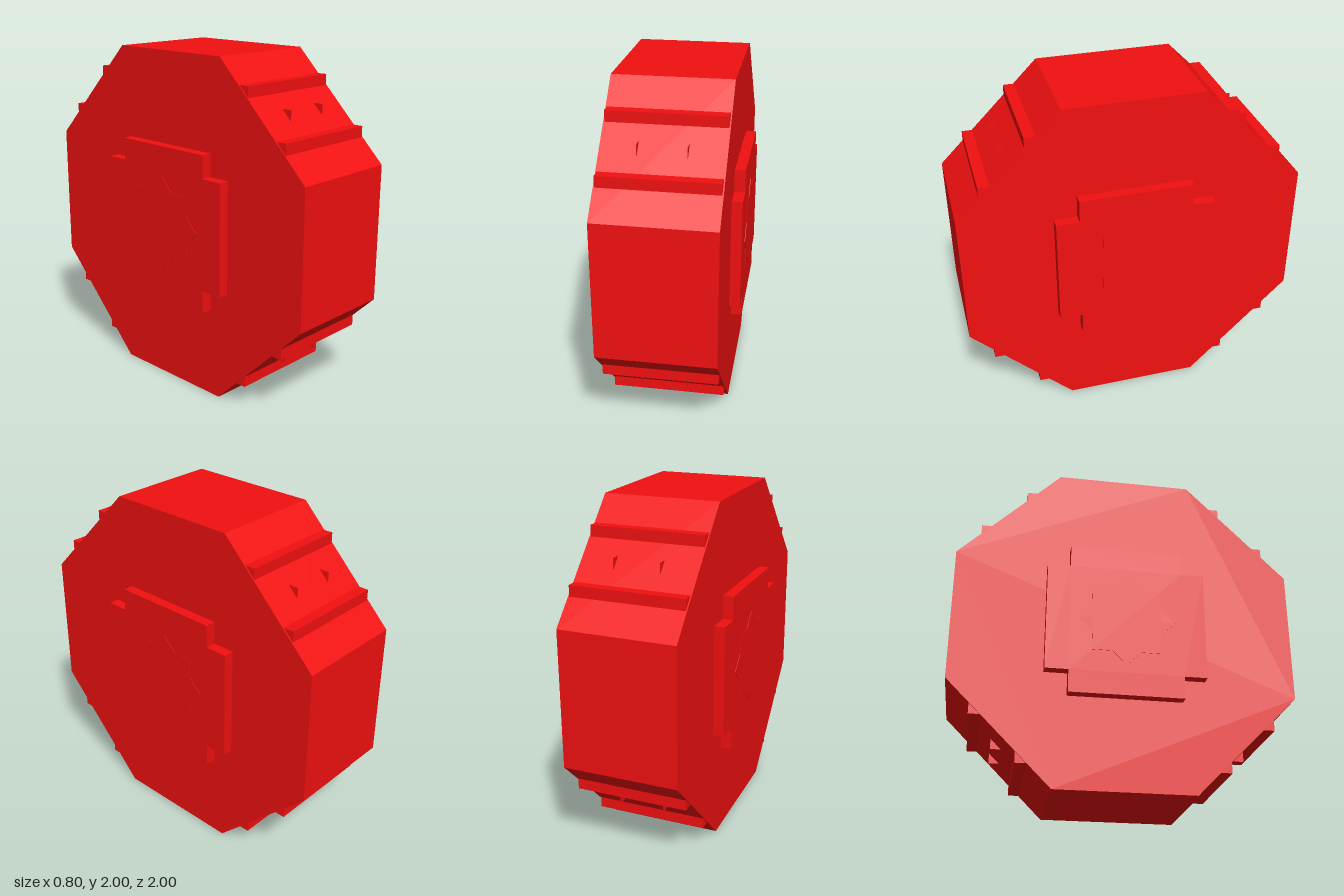
import * as THREE from 'three';

const HALF_WIDTH = 0.335;

export function createModel() {
  const group = new THREE.Group();
  const red = new THREE.MeshStandardMaterial({ color: 0xf21010, flatShading: true });

  const add = (name, geometry) => {
    const mesh = new THREE.Mesh(geometry, red);
    mesh.name = name;
    group.add(mesh);
    return mesh;
  };
  // Side profile in (z, y about the axle), extruded along x between -half and +half
  const slab = (points, half) => {
    const shape = new THREE.Shape(points.map(([z, y]) => new THREE.Vector2(z, y)));
    return new THREE.ExtrudeGeometry(shape, { depth: half * 2, bevelEnabled: false })
      .translate(0, 0, -half)
      .rotateY(-Math.PI / 2)
      .translate(0, 1, 0);
  };

  // Octagonal wheel body
  add('wheelBody', slab([
    [0.4, 1], [-0.4, 1], [-1, 0.4], [-1, -0.4],
    [-0.4, -1], [0.4, -1], [1, -0.4], [1, 0.4],
  ], HALF_WIDTH));

  // Cross-shaped hub standing out on both sides
  const a = 0.465, b = 0.331;
  add('hub', slab([
    [b, a], [-b, a], [-b, b], [-a, b], [-a, -b], [-b, -b],
    [-b, -a], [b, -a], [b, -b], [a, -b], [a, b], [b, b],
  ], 0.397));

  // Two crossed square axle ends, barely proud of the hub
  for (const turn of [0, Math.PI / 4]) {
    const axle = add('axle', new THREE.BoxGeometry(0.8, 0.4, 0.4));
    axle.position.y = 1;
    axle.rotation.x = turn;
  }

  // Tread on the four sloping faces
  for (const sy of [1, -1]) {
    for (const sz of [1, -1]) {
      // Ridges running across the width
      for (const [z, y] of [[0.6, 0.863], [0.863, 0.6]]) {
        const s = 0.1;
        const ridge = add('treadRidge', new THREE.BoxGeometry(0.656, s, s));
        ridge.position.set(0, 1 + sy * (y - s / 2), sz * (z - s / 2));
      }
      // Thin fins between the ridges
      for (const x of [-0.133, 0.133]) {
        const s = 0.1;
        const fin = add('treadFin', new THREE.BoxGeometry(0.002, s, s));
        fin.position.set(x, 1 + sy * (0.73 - s / 2), sz * (0.73 - s / 2));
      }
    }
  }
  return group;
}
